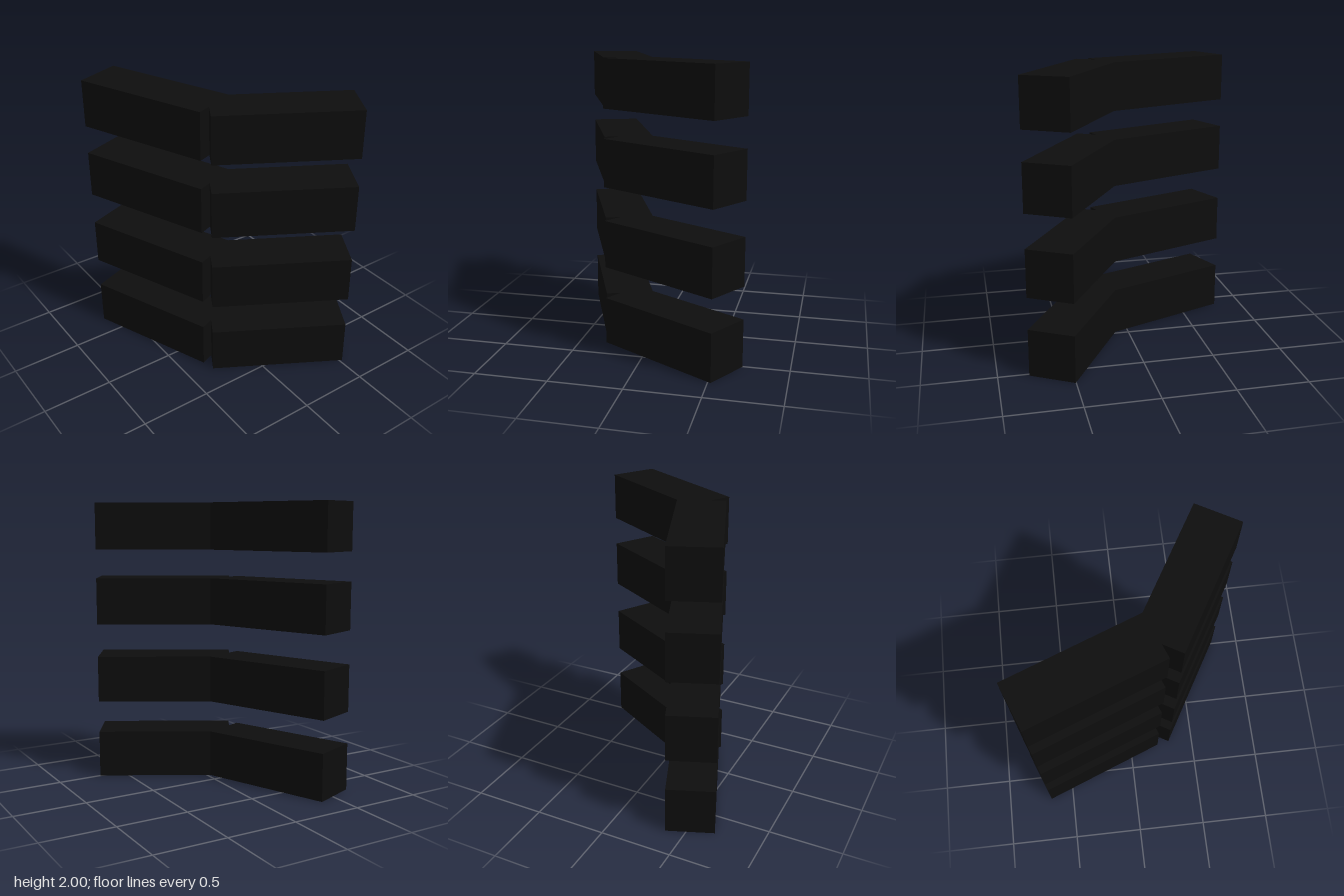
import * as THREE from 'three';

const LENGTH = 0.96, HEIGHT = 0.333, DEPTH = 0.332;

export function createModel() {
  const model = new THREE.Group();
  model.name = 'stackedAngledBars';
  const material = new THREE.MeshStandardMaterial({ color: 0x0d0d0d });
  const geometry = new THREE.BoxGeometry(LENGTH, HEIGHT, DEPTH);

  // One straight bar, turned about the vertical axis
  const addBar = (parent, name, x, z, angle) => {
    const bar = new THREE.Mesh(geometry, material);
    bar.name = name;
    bar.position.set(x, HEIGHT / 2, z);
    bar.rotation.y = angle;
    parent.add(bar);
  };

  // Four tiers, each a pair of bars meeting in a bent corner
  [0, 0.56, 1.13, 1.667].forEach((bottom, i) => {
    const tier = new THREE.Group();
    tier.name = `tier${i + 1}`;
    tier.position.y = bottom;
    addBar(tier, 'rightBar', -0.2875, 0.35, THREE.MathUtils.degToRad(21.3));
    addBar(tier, 'leftBar', 0.4075, -0.1875, THREE.MathUtils.degToRad(60));
    model.add(tier);
  });

  return model;
}
